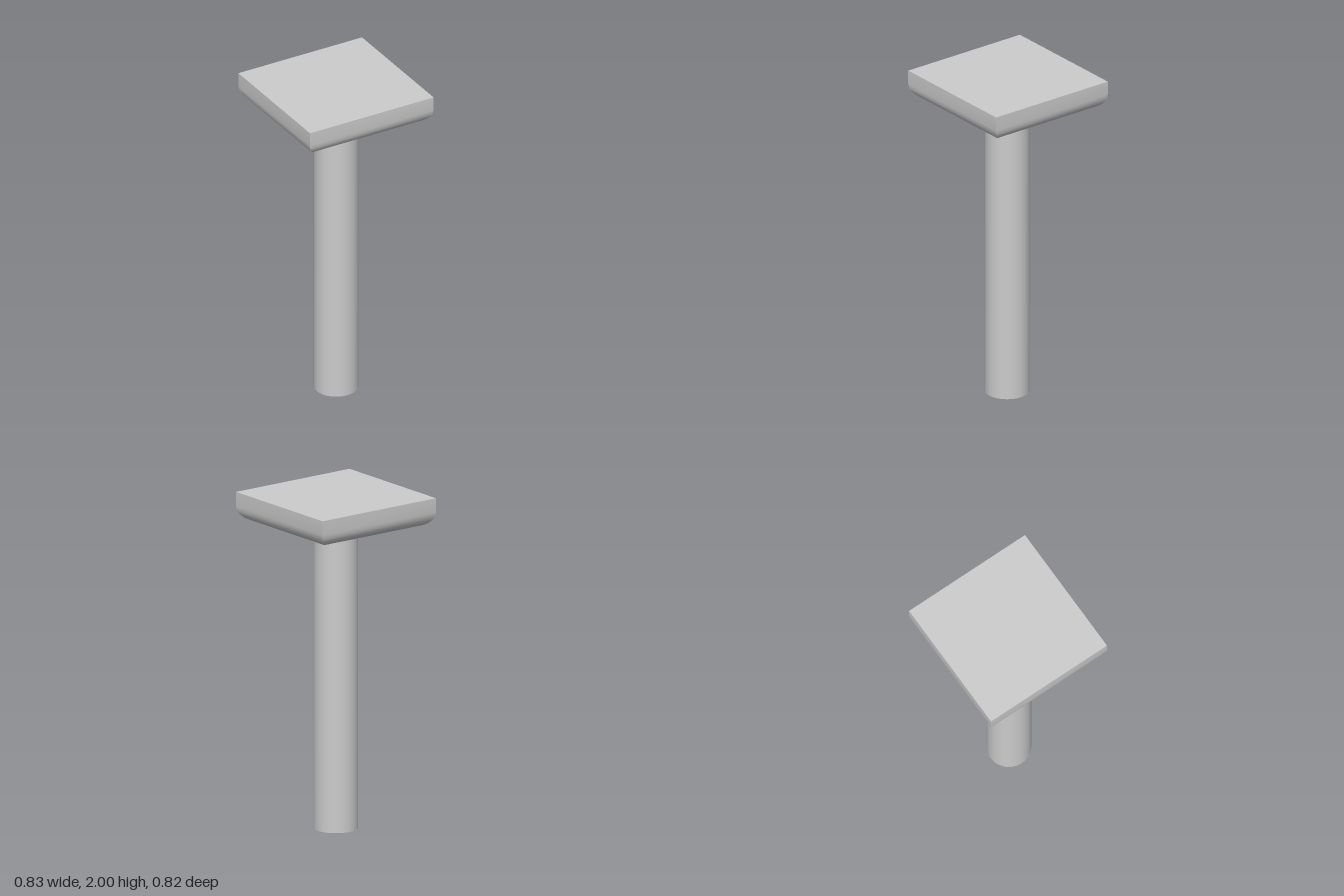
import * as THREE from 'three';
import { toCreasedNormals } from 'three/addons/utils/BufferGeometryUtils.js';

// Rectangular slab with sharp top edges and rounded, mitred bottom edges
function roundedBottomSlab(halfX, halfZ, bottom, top, radius, steps) {
  const ring = (y, inset) => [[1, 1], [1, -1], [-1, -1], [-1, 1]]
    .map(([sx, sz]) => [sx * (halfX - inset), y, sz * (halfZ - inset)]);

  // Rings from the top edge down through the rounding
  const rings = [ring(top, 0)];
  for (let i = 0; i <= steps; i++) {
    const a = (i / steps) * Math.PI / 2;
    rings.push(ring(bottom + radius * (1 - Math.sin(a)), radius * (1 - Math.cos(a))));
  }

  const points = [];
  const quad = (a, b, c, d) => points.push(...[a, b, c, a, c, d].flat());
  quad(...rings[0]);
  for (let r = 0; r < rings.length - 1; r++) {
    for (let i = 0; i < 4; i++) {
      const j = (i + 1) % 4;
      quad(rings[r + 1][i], rings[r + 1][j], rings[r][j], rings[r][i]);
    }
  }
  quad(...rings[rings.length - 1].slice().reverse());

  const geometry = new THREE.BufferGeometry();
  geometry.setAttribute('position', new THREE.Float32BufferAttribute(points, 3));
  return toCreasedNormals(geometry, 0.9);
}

export function createModel() {
  const group = new THREE.Group();
  group.name = 'squareHeadedPost';
  const material = new THREE.MeshStandardMaterial({ color: 0xcccccc });

  const headBottom = 1.83;

  // Square head
  const head = new THREE.Mesh(
    roundedBottomSlab(0.416, 0.41, headBottom, 2, 0.085, 5), material);
  head.name = 'head';
  group.add(head);

  // Round shaft, very slightly off centre
  const shaft = new THREE.Mesh(
    new THREE.CylinderGeometry(0.13, 0.13, headBottom, 48), material);
  shaft.name = 'shaft';
  shaft.position.set(-0.002, headBottom / 2, 0.005);
  group.add(shaft);

  return group;
}
